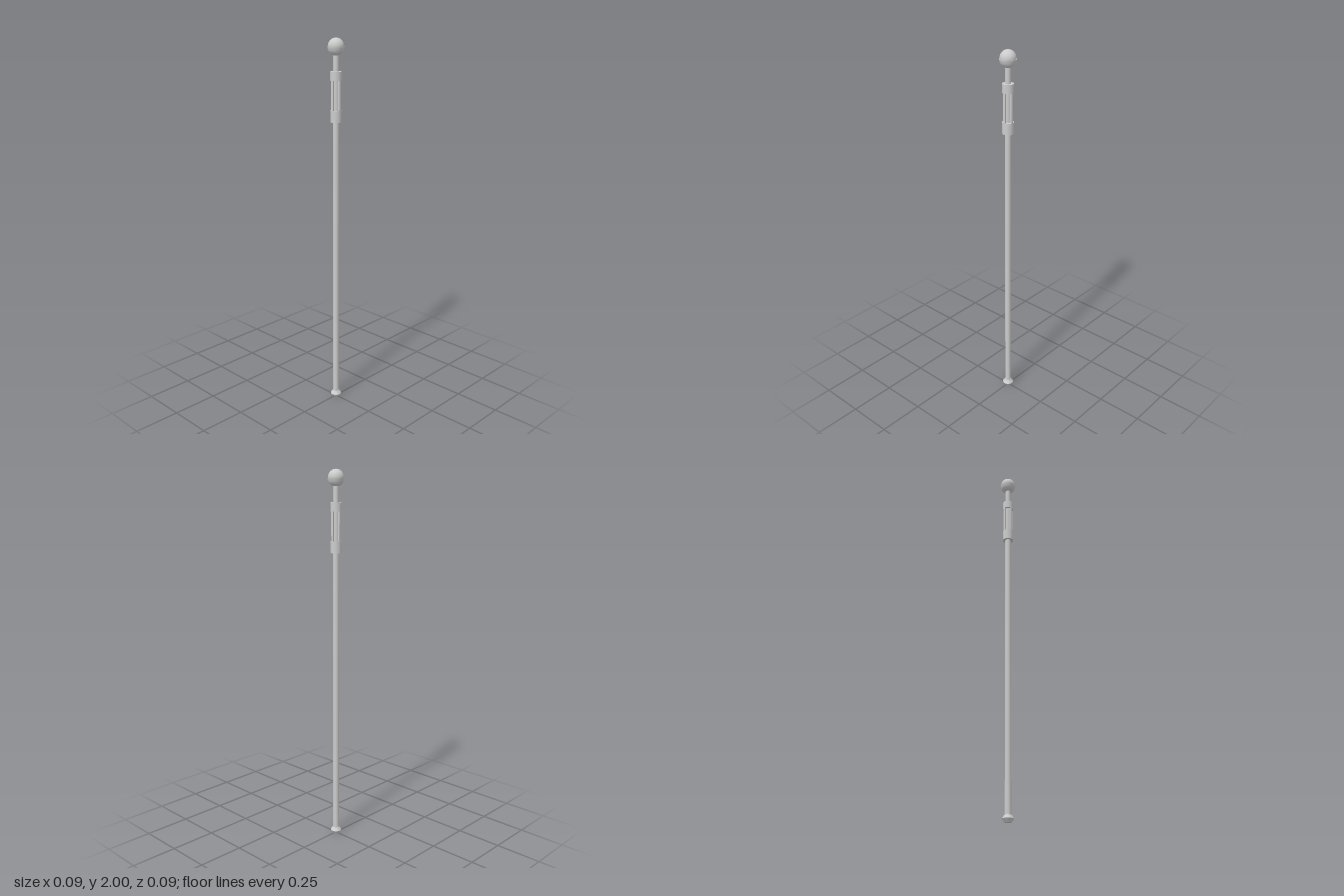
import * as THREE from 'three';
import { toCreasedNormals } from 'three/addons/utils/BufferGeometryUtils.js';

const material = new THREE.MeshStandardMaterial({ color: 0xcccccc });

export function createModel() {
  const group = new THREE.Group();

  function add(name, geometry, y = 0) {
    const mesh = new THREE.Mesh(geometry, material);
    mesh.name = name;
    mesh.position.y = y;
    group.add(mesh);
    return mesh;
  }
  const rod = (name, radius, y0, y1) =>
    add(name, new THREE.CylinderGeometry(radius, radius, y1 - y0, 32), (y0 + y1) / 2);
  // Turned part: only edges sharper than the crease angle stay crisp
  const turned = (name, profile) => {
    const points = profile.map(([r, y]) => new THREE.Vector2(r, y));
    add(name, toCreasedNormals(new THREE.LatheGeometry(points, 32), 0.8));
  };

  // Ball resting in a slightly wider cup on a short neck
  add('ball', new THREE.SphereGeometry(0.041, 32, 24), 1.959);
  turned('ballCup', [
    [0, 1.913], [0.016, 1.915], [0.032, 1.925], [0.041, 1.94], [0.0435, 1.955], [0.04, 1.955],
  ]);
  rod('neck', 0.014, 1.83, 1.93);

  // Slotted grip: two solid collars joined by four bars around a core
  rod('upperCollar', 0.029, 1.79, 1.835);
  rod('lowerCollar', 0.029, 1.58, 1.64);
  rod('gripCore', 0.018, 1.64, 1.79);
  const half = 0.2;
  const sector = new THREE.Shape();
  sector.absarc(0, 0, 0.029, -half, half, false);
  sector.absarc(0, 0, 0.016, half, -half, true);
  sector.closePath();
  const barGeometry = new THREE.ExtrudeGeometry(sector, {
    depth: 0.15, bevelEnabled: false, curveSegments: 6,
  });
  barGeometry.rotateX(-Math.PI / 2);
  for (let i = 0; i < 4; i++) {
    add('gripBar', barGeometry, 1.64).rotation.y = (i * Math.PI) / 2;
  }

  // Long shaft
  rod('shaft', 0.016, 0.03, 1.6);

  // Flared foot with a single sharp rim
  turned('foot', [[0, 0], [0.018, 0], [0.03, 0.018], [0.018, 0.036], [0, 0.036]]);

  return group;
}
